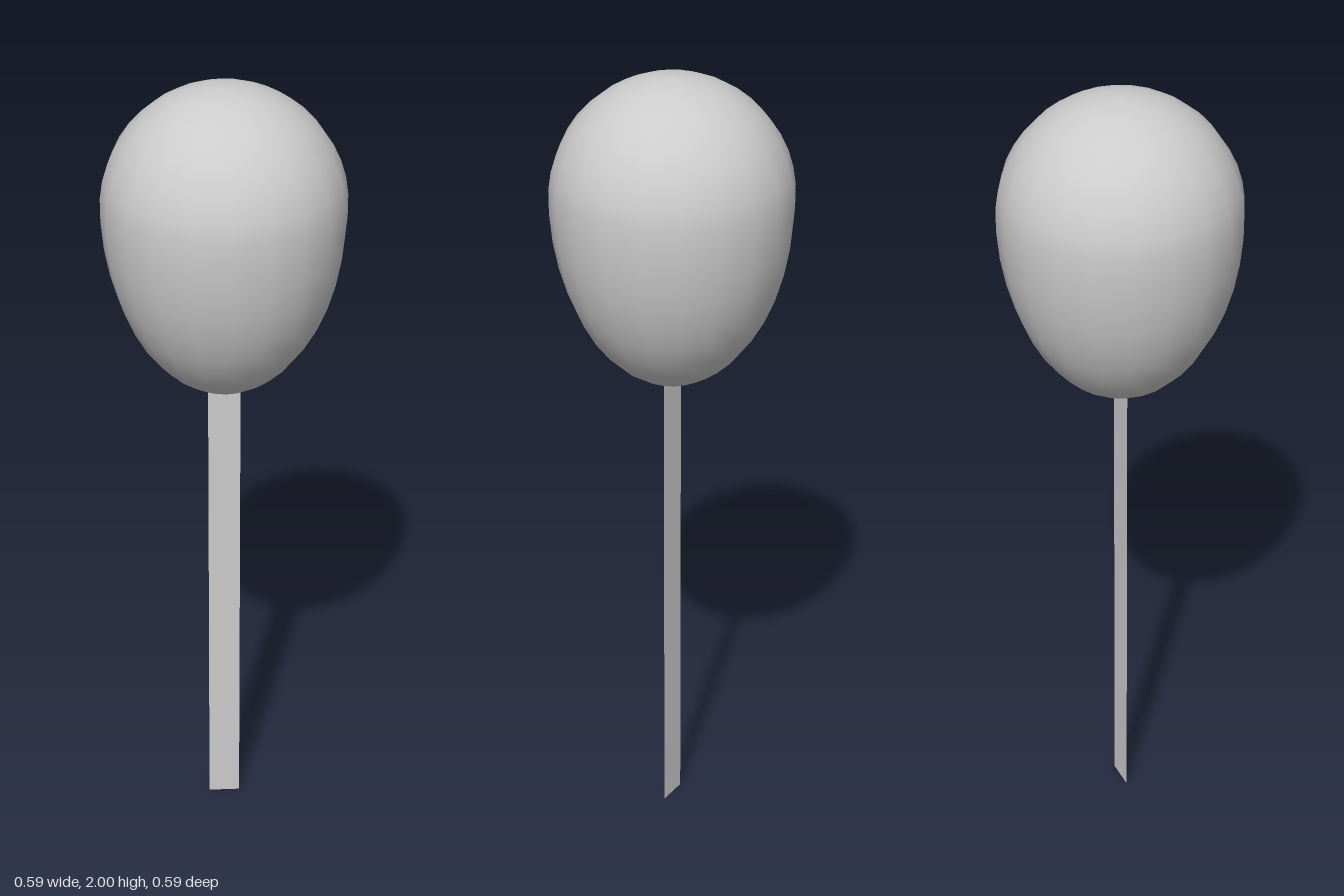
import * as THREE from 'three';

export function createModel() {
  const group = new THREE.Group();
  const material = new THREE.MeshStandardMaterial({ color: 0xcccccc, side: THREE.DoubleSide });
  const radius = 0.294, waistY = 1.706, bottomY = 1.23, topY = 2;

  // Balloon: long lower taper, round crown, small dimple where the ribbon enters
  const profile = [new THREE.Vector2(0, bottomY + 0.02)];
  const steps = 20;
  for (let i = 0; i <= steps; i++) {
    const t = THREE.MathUtils.lerp(-1.43, Math.PI / 2, i / steps);
    const height = t < 0 ? (waistY - bottomY) / Math.sin(1.43) : topY - waistY;
    profile.push(new THREE.Vector2(Math.max(0, radius * Math.cos(t)), waistY + height * Math.sin(t)));
  }
  const balloon = new THREE.Mesh(new THREE.LatheGeometry(profile, 20), material);
  balloon.name = 'balloon';
  group.add(balloon);

  // Flat ribbon hanging from the dimple
  const ribbonLength = bottomY + 0.01;
  const ribbon = new THREE.Mesh(new THREE.PlaneGeometry(0.08, ribbonLength), material);
  ribbon.name = 'ribbon';
  ribbon.position.y = ribbonLength / 2;
  group.add(ribbon);

  return group;
}
